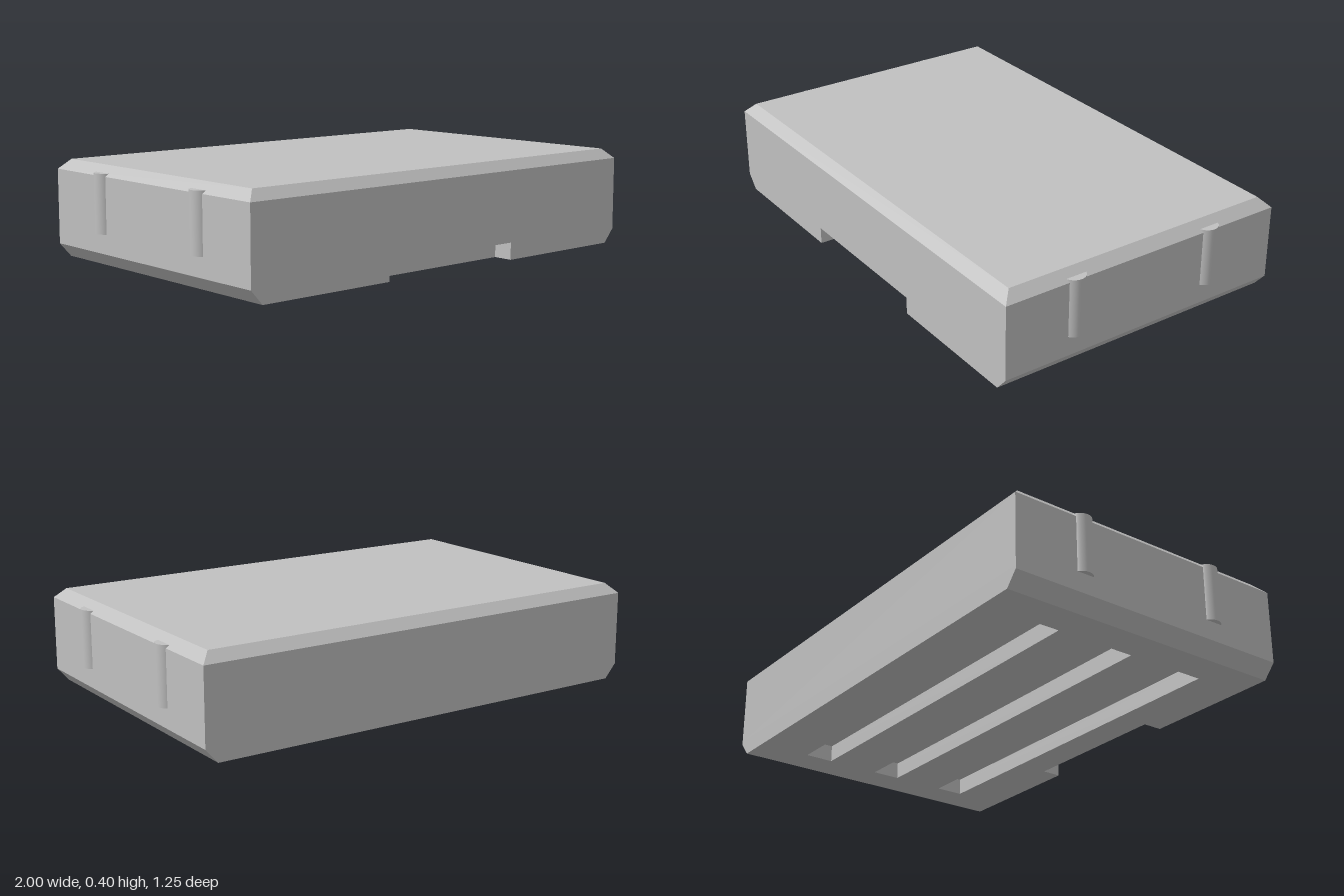
import * as THREE from 'three';

const HX = 0.98, HZ = 0.623;       // half length and half depth of the block
const SLOT_TOP = 0.07, CHAMFER_TOP = 0.057, BEVEL_Y = 0.36, TOP_Y = 0.4;

export function createModel() {
  const group = new THREE.Group();
  const grey = new THREE.MeshStandardMaterial({ color: 0xc0c0c0 });
  grey.name = 'lightGrey';

  function add(geometry, name) {
    const mesh = new THREE.Mesh(geometry, grey);
    mesh.name = name;
    group.add(mesh);
    return mesh;
  }

  // Move vertices by a rule and refresh the normals
  function reshape(geometry, rule) {
    const p = geometry.attributes.position;
    const v = new THREE.Vector3();
    for (let i = 0; i < p.count; i++) {
      rule(v.fromBufferAttribute(p, i));
      p.setXYZ(i, v.x, v.y, v.z);
    }
    geometry.computeVertexNormals();
    return geometry;
  }

  // Plan of the underside: front notch and three long slots (shape y = -z)
  const plan = new THREE.Shape([
    [-HX, -HZ], [-0.333, -HZ], [-0.333, -HZ + 0.083], [0.333, -HZ + 0.083],
    [0.333, -HZ], [HX, -HZ], [HX, HZ], [-HX, HZ],
  ].map(([x, y]) => new THREE.Vector2(x, y)));
  for (const z of [-0.345, 0, 0.345]) {
    plan.holes.push(new THREE.Path([
      [-0.79, z - 0.06], [-0.79, z + 0.06], [0.79, z + 0.06], [0.79, z - 0.06],
    ].map(([x, y]) => new THREE.Vector2(x, y))));
  }
  function layer(y0, y1) {
    const g = new THREE.ExtrudeGeometry(plan, { depth: y1 - y0, bevelEnabled: false });
    return g.rotateX(-Math.PI / 2).translate(0, y0, 0);
  }

  // Slotted underside, its two ends chamfered inwards towards the floor
  add(reshape(layer(0, CHAMFER_TOP), (v) => {
    if (v.y < 0.001 && Math.abs(v.x) > 0.9) v.x = Math.sign(v.x) * 0.93;
  }), 'chamferedBase');
  add(layer(CHAMFER_TOP, SLOT_TOP), 'slottedBase');

  // Solid middle
  const midHeight = BEVEL_Y - SLOT_TOP;
  add(new THREE.BoxGeometry(HX * 2, midHeight, HZ * 2), 'body')
    .position.y = SLOT_TOP + midHeight / 2;

  // Top with bevelled rim
  const bevel = TOP_Y - BEVEL_Y;
  const top = new THREE.BoxGeometry(HX * 2, bevel, HZ * 2);
  add(reshape(top, (v) => {
    if (v.y > 0) {
      v.x -= Math.sign(v.x) * bevel;
      v.z -= Math.sign(v.z) * bevel;
    }
  }), 'bevelledTop').position.y = BEVEL_Y + bevel / 2;

  // Rounded ribs, two on each end
  const rib = new THREE.CylinderGeometry(0.046, 0.046, 0.236, 32);
  for (const side of [-1, 1]) {
    for (const z of [-0.312, 0.312]) {
      add(rib, side > 0 ? 'leftRib' : 'rightRib').position.set(side * 0.954, 0.254, z);
    }
  }
  return group;
}
